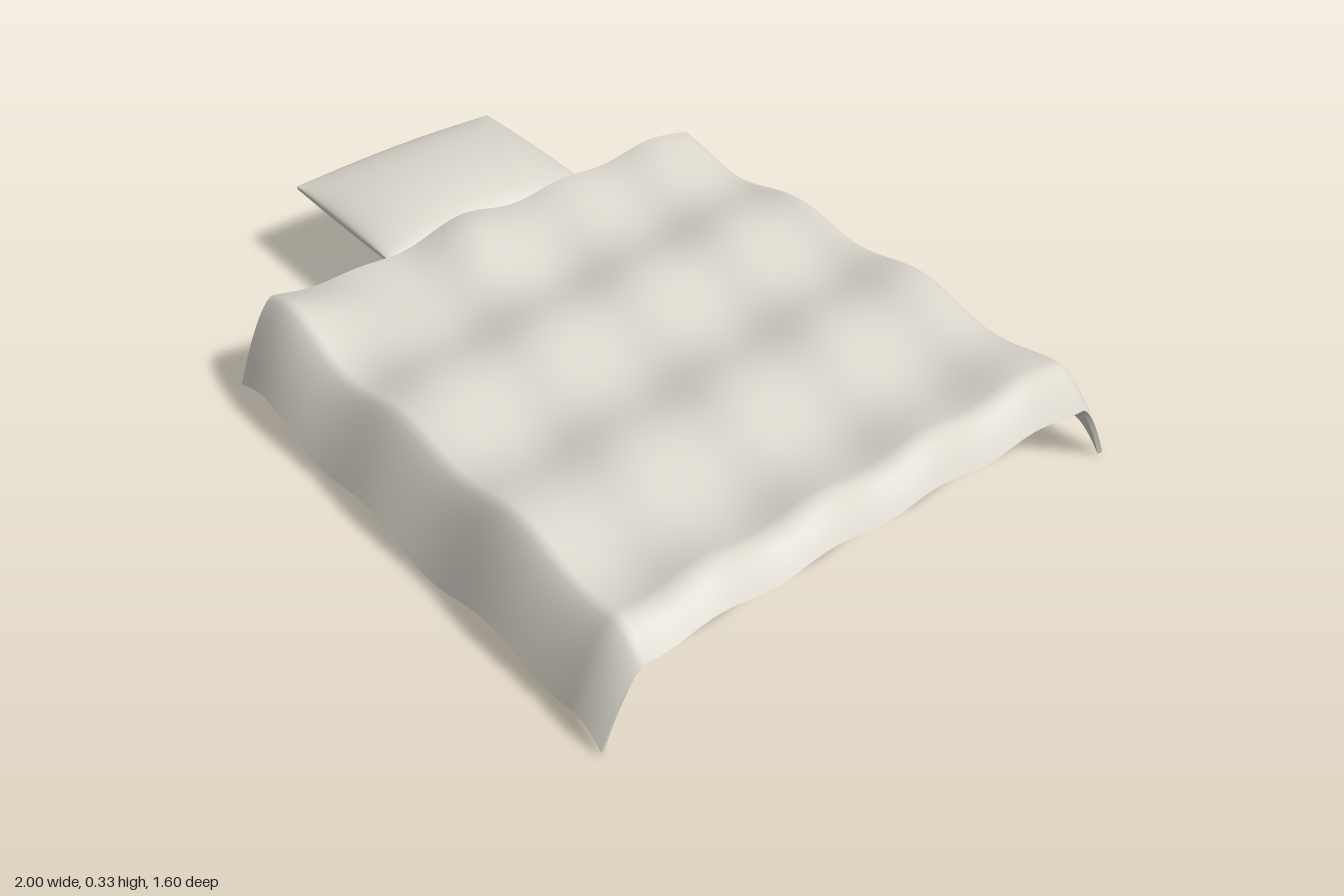
import * as THREE from 'three';

const TAU = Math.PI * 2;
const THICKNESS = 0.012;

// Closed cushion-like shell: a box of -1..1 whose points are moved by rule(u, v, side)
function shell(nu, nv, rule) {
  const geo = new THREE.BoxGeometry(2, 2, 2, nu, 1, nv);
  const p = geo.attributes.position;
  for (let i = 0; i < p.count; i++) p.setXYZ(i, ...rule(p.getX(i), p.getZ(i), Math.sign(p.getY(i))));
  geo.computeVertexNormals();
  return geo;
}

// Height of the blanket: crossing ripples, a rumpled head end and drooping sides
function blanketHeight(x, z) {
  const across = 0.019 * Math.cos((TAU / 0.48) * (x - 0.03 - 0.09 * z));
  const along = 0.01 * Math.cos((TAU / 0.33) * (z - 0.25 * x - 0.23));
  const rumple = 0.024 * (z + 0.8) * Math.exp(-(((x + 0.4) / 0.15) ** 2)) * Math.cos((TAU / 0.6) * (z - 0.1));
  const side = Math.max(0, (Math.abs(z) - 0.685) / 0.117);
  const foot = Math.max(0, (x - 0.9) / 0.1);
  const drop = 0.225 * side ** 1.4 + (0.085 - 0.02 * side) * foot ** 1.6;
  return 0.286 + across + along + rumple - drop;
}

export function createModel() {
  const group = new THREE.Group();
  const linen = new THREE.MeshStandardMaterial({ color: 0xdad6cc });
  linen.name = 'linen';

  const add = (name, geo) => {
    const mesh = new THREE.Mesh(geo, linen);
    mesh.name = name;
    group.add(mesh);
    return mesh;
  };

  // Blanket draped over three sides, its lining set in along the surface normal
  add('blanket', shell(120, 128, (u, v, side) => {
    const x = 0.245 + 0.755 * u, z = 0.802 * v, e = 0.002;
    const y = blanketHeight(x, z);
    if (side > 0) return [x, Math.max(0, y), z];
    const n = new THREE.Vector3(
      (blanketHeight(x - e, z) - blanketHeight(x + e, z)) / (2 * e), 1,
      (blanketHeight(x, z - e) - blanketHeight(x, z + e)) / (2 * e),
    ).setLength(THICKNESS);
    return [x - n.x, Math.max(0, y - n.y), z - n.z];
  }));

  // Pillow: puffed above and below a thin straight seam
  add('pillow', shell(40, 40, (u, v, side) => {
    const a = Math.sin(u * Math.PI / 2), b = Math.sin(v * Math.PI / 2);
    const puff = Math.max(0, (1 - a * a) * (1 - b * b)) ** 0.58;
    return [0.234 * a, side * (0.005 + 0.07 * puff), 0.328 * b];
  })).position.set(-0.766, 0.253, 0);

  return group;
}
